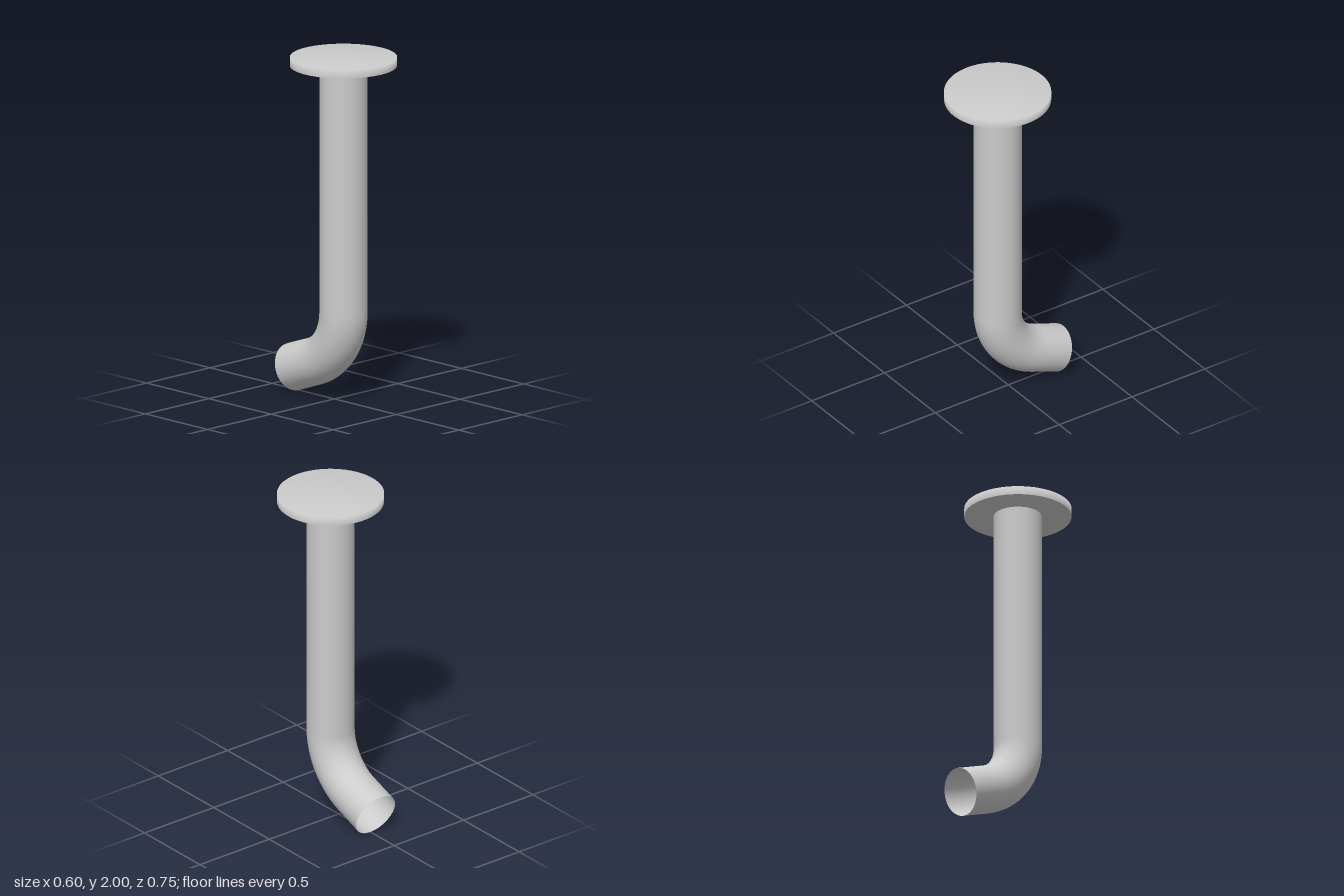
import * as THREE from 'three';

const PIPE_Z = 0.073;      // axis of the upright pipe
const PIPE_R = 0.136;
const FLANGE_R = 0.302;
const FLANGE_Y = 1.95;
const BEND_Y = 0.521;      // where the bend starts
const BEND_R = 0.35;
const BEND_ANGLE = THREE.MathUtils.degToRad(70);
const SPOUT_LENGTH = 0.186;

// Centre line: straight drop, circular bend to the back, short straight outlet
class PipePath extends THREE.Curve {
  getPoint(t, target = new THREE.Vector3()) {
    const drop = FLANGE_Y - BEND_Y;
    const arc = BEND_R * BEND_ANGLE;
    const s = t * (drop + arc + SPOUT_LENGTH);
    if (s < drop) return target.set(0, FLANGE_Y - s, PIPE_Z);
    const a = Math.min((s - drop) / BEND_R, BEND_ANGLE);
    const rest = Math.max(0, s - drop - arc);
    return target.set(
      0,
      BEND_Y - BEND_R * Math.sin(a) - rest * Math.cos(a),
      PIPE_Z - BEND_R * (1 - Math.cos(a)) - rest * Math.sin(a)
    );
  }
}

export function createModel() {
  const model = new THREE.Group();
  model.name = 'bentPipeWithFlange';
  const material = new THREE.MeshStandardMaterial({ color: 0xcccccc, side: THREE.DoubleSide });

  const add = (name, geometry, parent = model) => {
    const mesh = new THREE.Mesh(geometry, material);
    mesh.name = name;
    parent.add(mesh);
    return mesh;
  };

  // Thin-walled pipe, open at the outlet
  add('pipe', new THREE.TubeGeometry(new PipePath(), 160, PIPE_R, 64, false));

  // Round flange: rim and top share smooth normals, underside is flat
  const flange = new THREE.Group();
  flange.name = 'flange';
  flange.position.set(0, FLANGE_Y, PIPE_Z);
  model.add(flange);
  const profile = [[FLANGE_R, 0], [FLANGE_R, 0.05], [0, 0.05]].map(([r, y]) => new THREE.Vector2(r, y));
  add('flangeTop', new THREE.LatheGeometry(profile, 96), flange);
  add('flangeUnderside', new THREE.CircleGeometry(FLANGE_R, 96).rotateX(Math.PI / 2), flange);

  return model;
}
